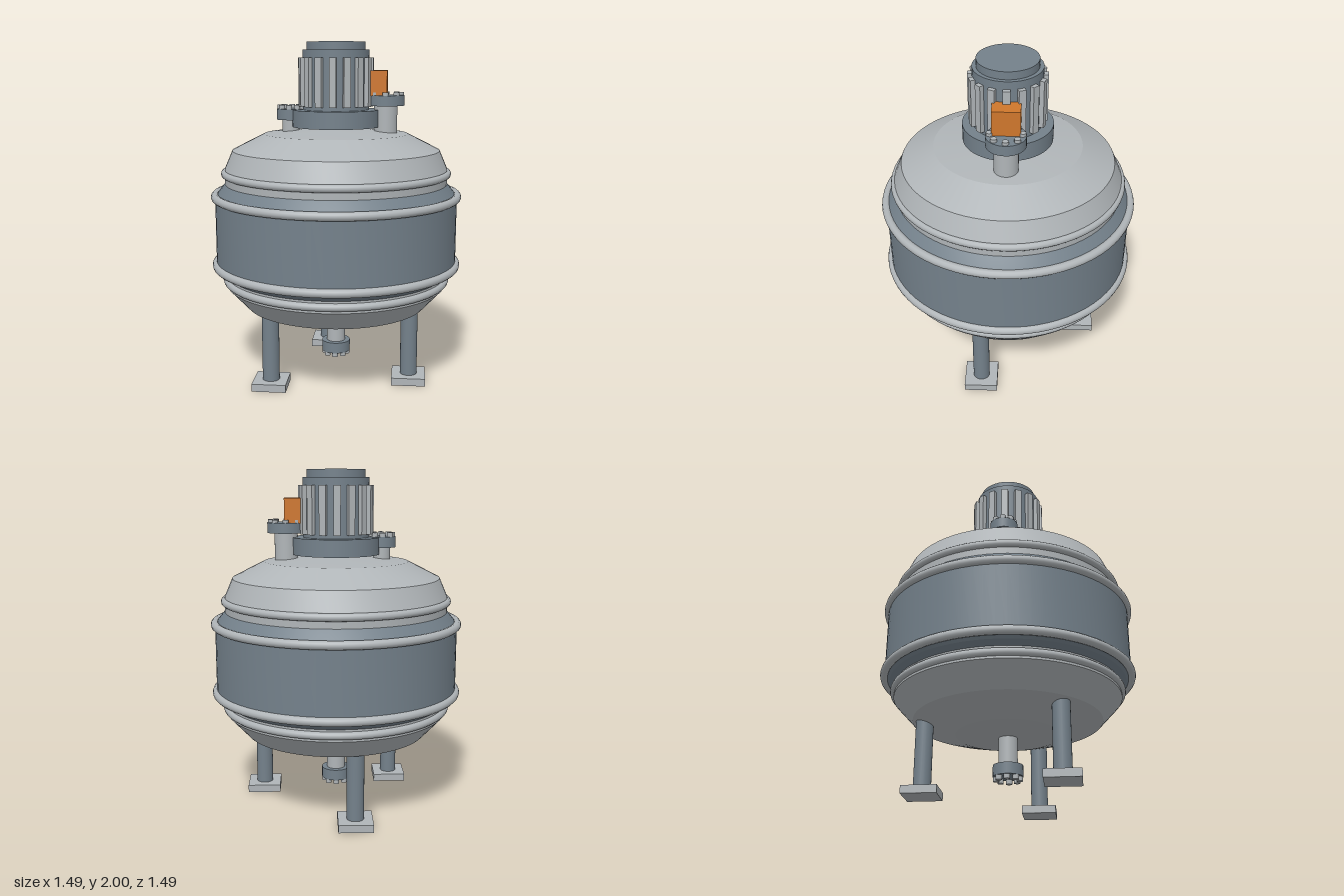
import * as THREE from 'three';
import { toCreasedNormals } from 'three/addons/utils/BufferGeometryUtils.js';

const material = (name, color) => {
  const m = new THREE.MeshStandardMaterial({ color });
  m.name = name;
  return m;
};

export function createModel() {
  const model = new THREE.Group();
  model.name = 'mixingTank';
  const steel = material('pale steel', 0xb0b5b8);
  const dark = material('blue grey steel', 0x74818b);
  const orange = material('orange', 0xcf772c);

  const add = (parent, name, geometry, mat, x = 0, y = 0, z = 0) => {
    const mesh = new THREE.Mesh(geometry, mat);
    mesh.name = name;
    mesh.position.set(x, y, z);
    parent.add(mesh);
    return mesh;
  };
  // upright cylinder between two heights
  const post = (parent, name, r, y0, y1, mat, x = 0, z = 0, sides = 32) =>
    add(parent, name, new THREE.CylinderGeometry(r, r, y1 - y0, sides), mat, x, (y0 + y1) / 2, z);
  // turned shell: smooth around, sharp between profile segments
  const turned = (name, profile, mat) => {
    const points = profile.map(([r, y]) => new THREE.Vector2(r, y));
    return add(model, name, toCreasedNormals(new THREE.LatheGeometry(points, 72), 0.15), mat);
  };

  // Vessel with dished heads
  turned('vessel', [
    [0, 0.345], [0.3, 0.365], [0.545, 0.44], [0.66, 0.565],
    [0.66, 1.265], [0.613, 1.375], [0.425, 1.47], [0, 1.51],
  ], steel);

  // Heating jacket with tapered ends
  turned('jacket', [
    [0.655, 0.63], [0.69, 0.66], [0.72, 0.7], [0.72, 1.1], [0.7, 1.13], [0.655, 1.185],
  ], dark);

  // Rounded bands around the shell
  for (const [y, radius, tube] of [[0.6, 0.66, 0.022], [0.695, 0.72, 0.025], [1.105, 0.72, 0.025], [1.24, 0.66, 0.022]]) {
    const band = add(model, 'band', new THREE.TorusGeometry(radius, tube, 12, 72), steel, 0, y, 0);
    band.rotation.x = Math.PI / 2;
  }

  // Three legs with square feet
  for (let i = 0; i < 3; i++) {
    const a = 0.32 + (i * Math.PI * 2) / 3;
    const x = 0.475 * Math.cos(a), z = 0.475 * Math.sin(a);
    post(model, 'leg', 0.05, 0.04, 0.52, dark, x, z, 24);
    add(model, 'foot', new THREE.BoxGeometry(0.2, 0.045, 0.2), steel, x, 0.0225, z);
  }

  // Flanged nozzle with a ring of bolts
  const nozzle = (name, x, pipeR, pipe, flangeR, flange, boltRing, bolts) => {
    const group = new THREE.Group();
    group.name = name;
    model.add(group);
    post(group, 'pipe', pipeR, ...pipe, steel, x);
    post(group, 'flange', flangeR, ...flange, dark, x);
    for (let i = 0; i < 8; i++) {
      const a = (i * Math.PI) / 4;
      post(group, 'bolt', 0.018, ...bolts, steel, x + boltRing * Math.cos(a), boltRing * Math.sin(a), 10);
    }
  };
  nozzle('inletNozzle', 0.293, 0.068, [1.45, 1.65], 0.11, [1.635, 1.695], 0.088, [1.67, 1.713]);
  nozzle('ventNozzle', -0.27, 0.05, [1.46, 1.57], 0.082, [1.55, 1.613], 0.062, [1.6, 1.637]);
  nozzle('drainNozzle', 0, 0.055, [0.17, 0.37], 0.086, [0.125, 0.19], 0.066, [0.1, 0.14]);

  // Stirrer motor
  const motor = new THREE.Group();
  motor.name = 'motor';
  model.add(motor);
  post(motor, 'motorBase', 0.257, 1.51, 1.61, dark, 0, 0, 48);
  post(motor, 'motorBody', 0.195, 1.6, 1.955, dark, 0, 0, 48);
  post(motor, 'motorCap', 0.172, 1.95, 2, dark, 0, 0, 48);
  for (let i = 0; i < 16; i++) {
    const a = (i * Math.PI) / 8;
    const fin = add(motor, 'coolingFin', new THREE.BoxGeometry(0.05, 0.28, 0.04), steel,
      0.195 * Math.cos(a), 1.77, 0.195 * Math.sin(a));
    fin.rotation.y = -a;
  }
  add(motor, 'terminalBox', new THREE.BoxGeometry(0.11, 0.145, 0.155), orange, 0.247, 1.765, 0);

  return model;
}
